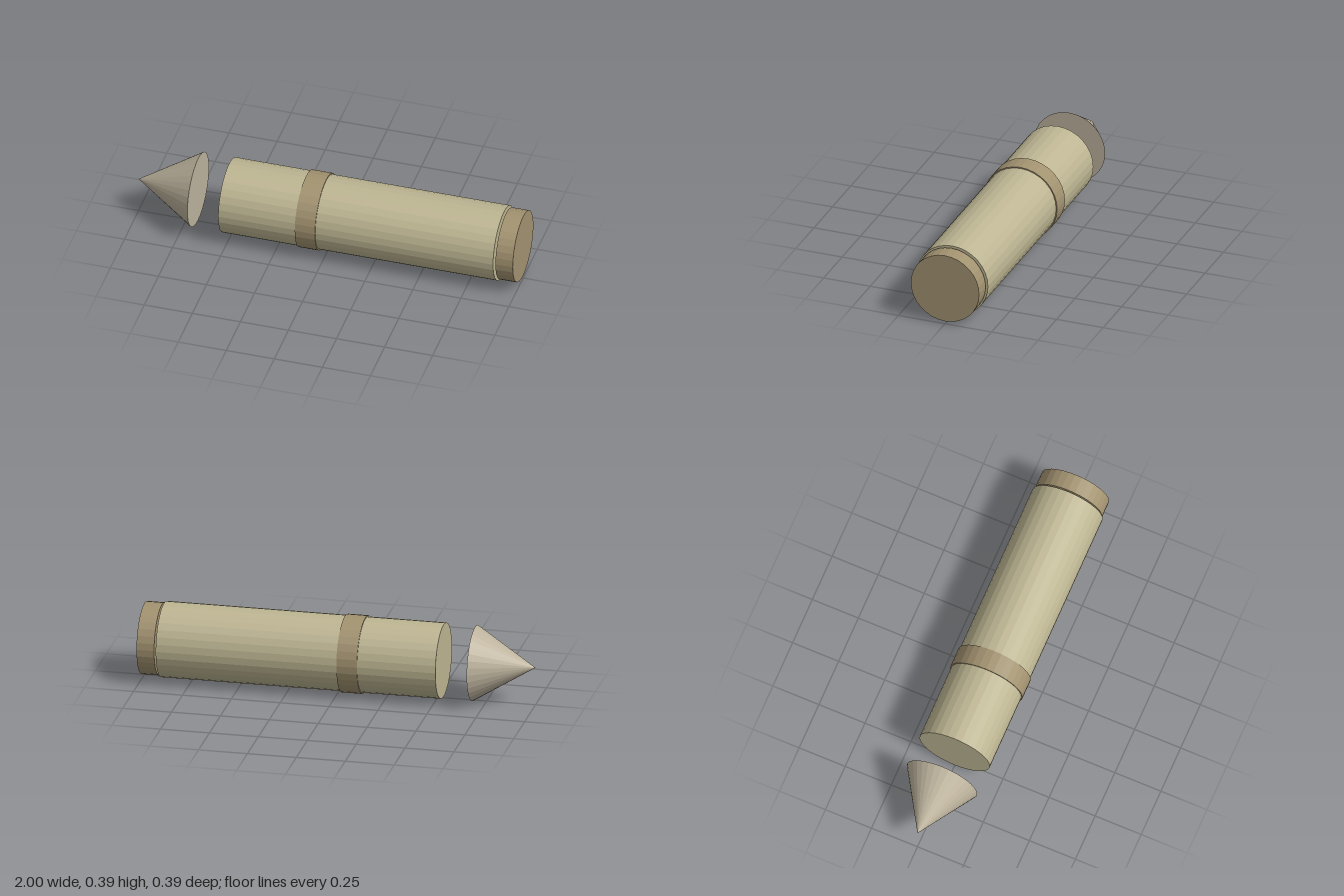
import * as THREE from 'three';

const SIDES = 32;
const AXIS_Y = 0.197;

// A round part lying along x, from x0 (radius r0) to x1 (radius r1)
function roundPart(name, x0, x1, r0, r1, color) {
  const geometry = r0 === 0
    ? new THREE.ConeGeometry(r1, x1 - x0, SIDES)
    : new THREE.CylinderGeometry(r0, r1, x1 - x0, SIDES);
  geometry.rotateZ(Math.PI / 2); // the geometry's top turns to -x
  const material = new THREE.MeshStandardMaterial({ color, flatShading: true });
  const mesh = new THREE.Mesh(geometry, material);
  mesh.name = name;
  mesh.position.set((x0 + x1) / 2, AXIS_Y, 0);
  return mesh;
}

export function createModel() {
  const model = new THREE.Group();
  model.name = 'pointedRod';
  model.add(
    // Tip floats ahead of the body
    roundPart('tip', -1, -0.69, 0, 0.191, 0xbcb29c),
    roundPart('body', -0.53, 0.9, 0.191, 0.191, 0xbdb592),
    // Raised ring around the body
    roundPart('band', -0.13, -0.025, 0.197, 0.197, 0xa29270),
    // Narrower cap, just clear of the body's end
    roundPart('endCap', 0.91, 1, 0.183, 0.183, 0xa29270),
  );
  return model;
}
